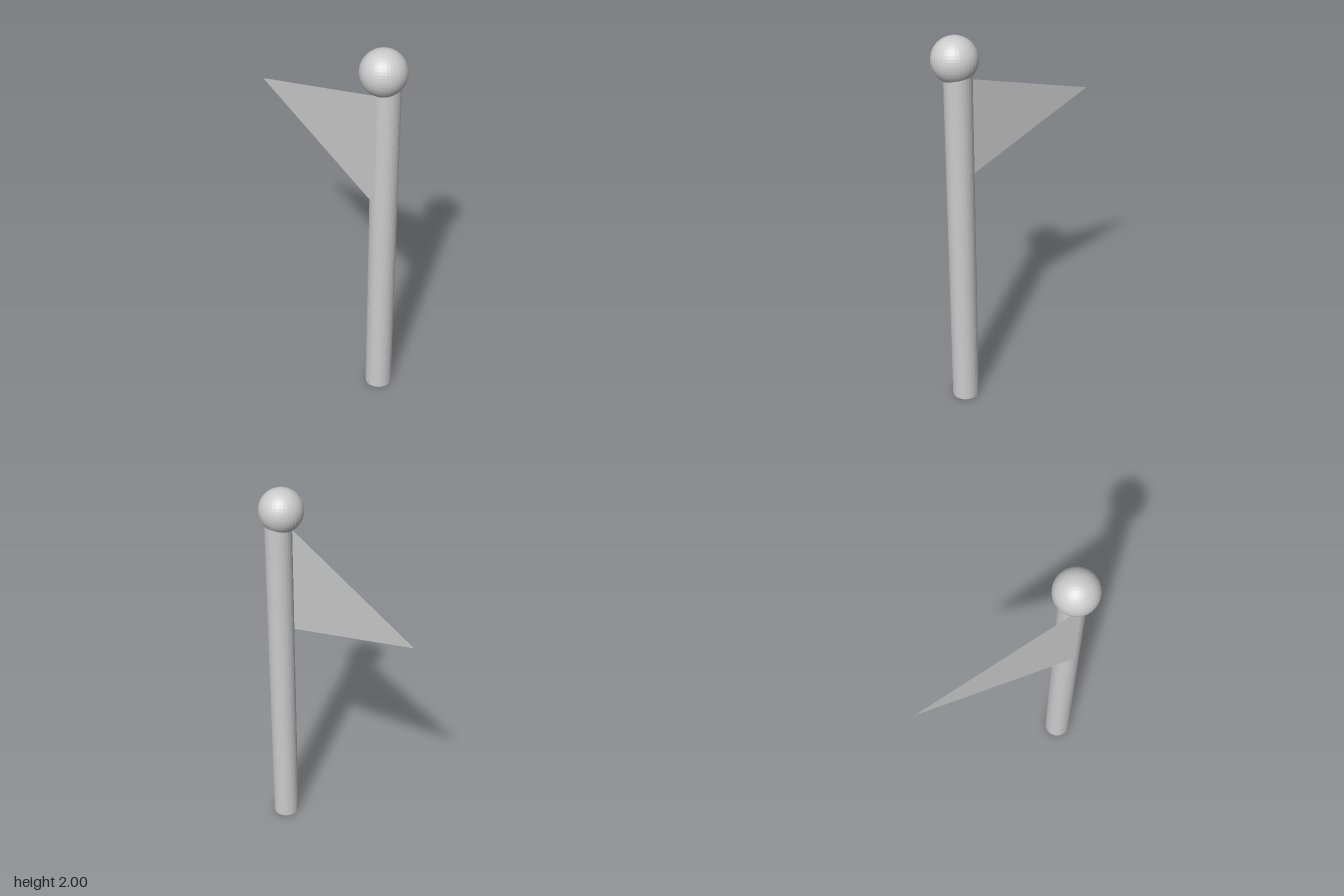
import * as THREE from 'three';

export function createModel() {
  const group = new THREE.Group();
  const poleZ = 0.375;
  const faceted = new THREE.MeshStandardMaterial({ color: 0xcccccc, flatShading: true });
  const cloth = new THREE.MeshStandardMaterial({ color: 0xcccccc, side: THREE.DoubleSide });

  const add = (name, geometry, material, x, y, z) => {
    const mesh = new THREE.Mesh(geometry, material);
    mesh.name = name;
    mesh.position.set(x, y, z);
    group.add(mesh);
    return mesh;
  };

  // Pole, slightly off-centre under the ball
  const poleHeight = 1.84;
  add('pole', new THREE.CylinderGeometry(0.068, 0.068, poleHeight, 32), faceted, 0.022, poleHeight / 2, poleZ);

  // Ball finial
  add('finial', new THREE.SphereGeometry(0.112, 32, 24), faceted, 0, 1.888, poleZ);

  // Thin triangular pennant along the pole's side, pointing backwards
  const pennant = new THREE.Shape([
    new THREE.Vector2(0, 0.3),
    new THREE.Vector2(0, -0.3),
    new THREE.Vector2(0.865, 0),
  ]);
  const flag = add('flag', new THREE.ShapeGeometry(pennant), cloth, -0.046, 1.485, 0.382);
  flag.rotation.y = Math.PI / 2;

  return group;
}
